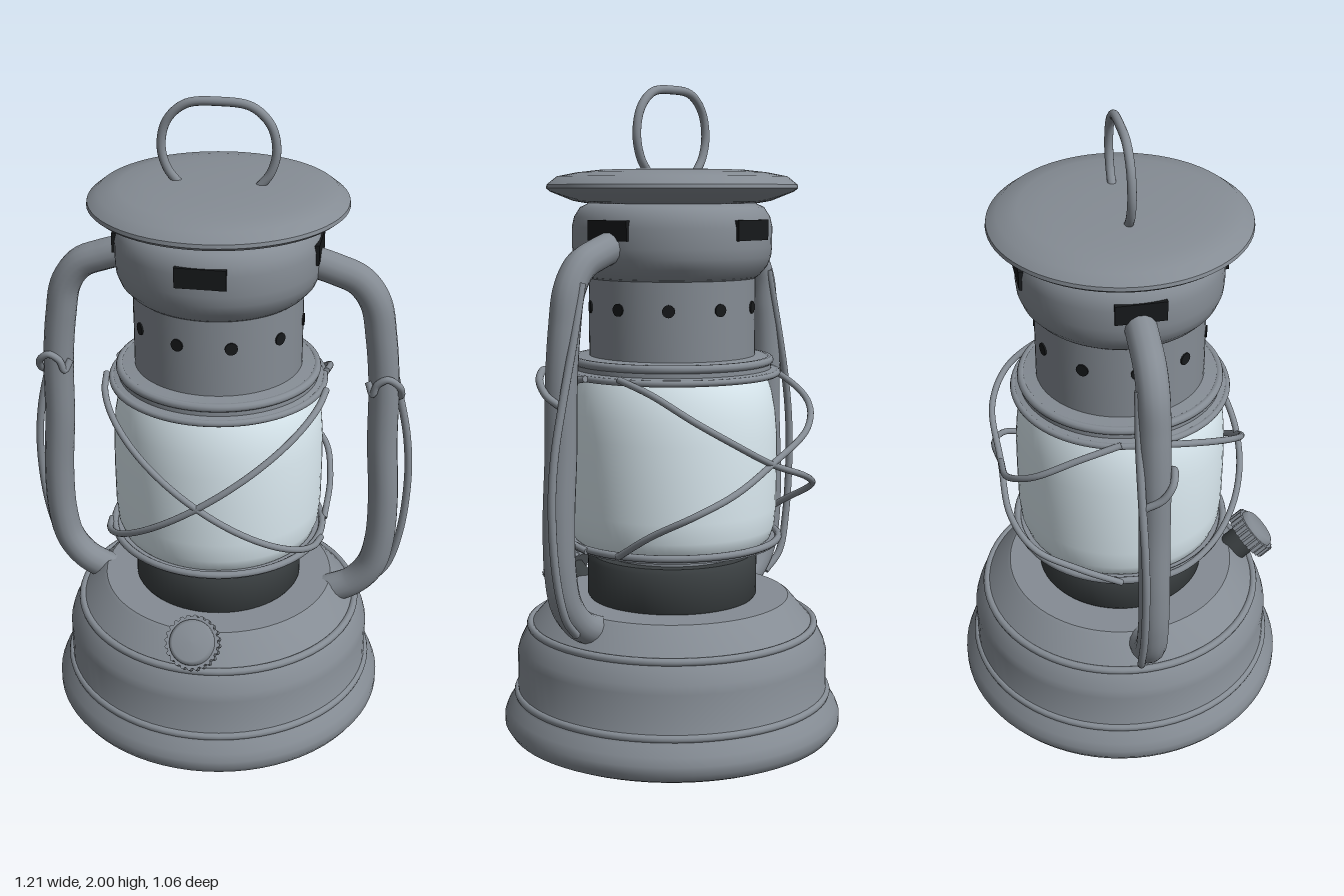
import * as THREE from 'three';
import { toCreasedNormals } from 'three/addons/utils/BufferGeometryUtils.js';

const paint = (color) => new THREE.MeshStandardMaterial({ color });

export function createModel() {
  const model = new THREE.Group();
  model.name = 'oilLantern';
  const metal = paint(0x858c94);
  const dark = paint(0x3a3f41);
  const black = paint(0x17191b);
  const glass = paint(0xdcebf2);

  const add = (name, geometry, material = metal, parent = model) => {
    const mesh = new THREE.Mesh(geometry, material);
    mesh.name = name;
    parent.add(mesh);
    return mesh;
  };
  // Turned part from [radius, height] pairs, bottom to top
  const turned = (name, profile, material) => {
    const points = profile.map(([r, y]) => new THREE.Vector2(r, y));
    return add(name, toCreasedNormals(new THREE.LatheGeometry(points, 72), 0.6), material);
  };
  const ring = (name, radius, y, thickness) => {
    const mesh = add(name, new THREE.TorusGeometry(radius, thickness, 10, 72));
    mesh.rotation.x = Math.PI / 2;
    mesh.position.y = y;
    return mesh;
  };
  // Round wire or pipe through points, with flat end caps
  const pipe = (name, points, radius, segments = 64) => {
    const curve = new THREE.CatmullRomCurve3(points.map((p) => new THREE.Vector3(...p)));
    const mesh = add(name, new THREE.TubeGeometry(curve, segments, radius, 14));
    for (const t of [0, 1]) {
      const cap = add(name + 'End', new THREE.CircleGeometry(radius, 14), metal, mesh);
      cap.position.copy(curve.getPoint(t));
      const out = curve.getTangent(t).multiplyScalar(t ? 1 : -1);
      cap.quaternion.setFromUnitVectors(new THREE.Vector3(0, 0, 1), out);
    }
    return mesh;
  };

  // Fuel tank
  turned('tank', [
    [0, 0], [0.49, 0], [0.515, 0.012], [0.53, 0.035], [0.53, 0.06], [0.52, 0.085], [0.5, 0.115],
    [0.487, 0.135], [0.487, 0.26], [0.48, 0.285], [0.455, 0.335], [0.44, 0.35],
    [0.375, 0.425], [0.365, 0.432], [0, 0.432],
  ]);
  ring('tankLowerBead', 0.488, 0.13, 0.012);
  ring('tankUpperBead', 0.446, 0.345, 0.012);

  // Burner and glass globe
  turned('burner', [[0.255, 0.425], [0.265, 0.44], [0.265, 0.555], [0.255, 0.57], [0, 0.57]], dark);
  turned('globeSeat', [[0.22, 0.56], [0.22, 0.605], [0.33, 0.605], [0.33, 0.62], [0, 0.62]]);
  turned('globe', [
    [0.29, 0.605], [0.308, 0.625], [0.32, 0.66], [0.325, 0.72], [0.326, 0.85], [0.325, 0.95],
    [0.319, 1.02], [0.308, 1.08], [0.292, 1.125], [0.28, 1.15],
  ], glass);

  // Collar and vented chimney
  turned('collar', [
    [0.27, 1.13], [0.325, 1.13], [0.325, 1.145], [0.305, 1.15], [0.305, 1.165],
    [0.3, 1.185], [0.255, 1.19],
  ]);
  ring('collarBead', 0.3, 1.175, 0.013);
  turned('chimney', [[0.255, 1.185], [0.255, 1.425], [0.262, 1.43], [0.262, 1.445]]);
  for (let i = 0; i < 10; i++) {
    const a = ((i * 36 + 18) * Math.PI) / 180;
    const hole = add('ventHole', new THREE.CylinderGeometry(0.019, 0.019, 0.012, 16), black);
    hole.rotation.set(Math.PI / 2, 0, -a, 'YXZ');
    hole.rotation.set(Math.PI / 2, a, 0, 'YXZ');
    hole.position.set(Math.sin(a) * 0.253, 1.34, Math.cos(a) * 0.253);
  }

  // Hood with four draught slots
  turned('hood', [
    [0.255, 1.425], [0.268, 1.435], [0.29, 1.46], [0.302, 1.49], [0.305, 1.52], [0.305, 1.58],
    [0.298, 1.61], [0.28, 1.638], [0.255, 1.65], [0.2, 1.65],
  ]);
  for (let i = 0; i < 4; i++) {
    const a = (i * Math.PI) / 2;
    const slot = add('draughtSlot', new THREE.BoxGeometry(0.148, 0.06, 0.04), black);
    slot.position.set(Math.sin(a) * 0.285, 1.573, Math.cos(a) * 0.285);
    slot.rotation.y = a;
  }

  // Cap and lifting loop
  turned('cap', [
    [0, 1.645], [0.23, 1.645], [0.3, 1.657], [0.37, 1.685], [0.382, 1.695], [0.38, 1.706],
    [0.35, 1.73], [0.29, 1.742], [0.22, 1.75], [0.1, 1.753], [0, 1.754],
  ]);
  pipe('liftingLoop', [
    [-0.115, 1.74, 0], [-0.15, 1.785, 0], [-0.167, 1.85, 0], [-0.15, 1.925, 0], [-0.095, 1.976, 0], [0, 1.987, 0],
    [0.095, 1.976, 0], [0.15, 1.925, 0], [0.167, 1.85, 0], [0.15, 1.785, 0], [0.115, 1.74, 0],
  ], 0.013, 80);

  // Side air pipes, hanging bail ends and hooks, mirrored
  for (const s of [1, -1]) {
    const side = (points) => points.map(([x, y, z]) => [x * s, y, z]);
    pipe('airPipe', side([
      [0.285, 1.525, 0], [0.35, 1.505, 0], [0.42, 1.475, 0], [0.468, 1.41, 0], [0.49, 1.3, 0], [0.505, 1.15, 0],
      [0.51, 0.95, 0], [0.522, 0.75, 0], [0.518, 0.6, 0], [0.495, 0.5, 0], [0.44, 0.43, 0], [0.35, 0.385, 0],
    ]), 0.047, 80);
    pipe('bailWire', side([
      [0.46, 1.43, -0.04], [0.5, 1.28, -0.045], [0.55, 1.1, -0.045], [0.583, 0.95, -0.042], [0.594, 0.8, -0.04],
      [0.578, 0.6, -0.04], [0.54, 0.47, -0.04], [0.48, 0.41, -0.025],
    ]), 0.012);
    pipe('bailHook', side([
      [0.55, 1.09, -0.035], [0.56, 1.12, 0.01], [0.553, 1.16, 0.04], [0.52, 1.185, 0.052],
      [0.488, 1.165, 0.05], [0.475, 1.13, 0.045], [0.46, 1.16, 0.025],
    ]), 0.011, 40);

    // Crossed guard wires in front of and behind the globe
    const front = [];
    for (let i = 0; i <= 12; i++) {
      const a = (i / 6 - 1) * 1.4;
      const r = 0.335 + 0.045 * Math.cos(a);
      front.push([Math.sin(a) * r * s, 0.88 + (0.26 * Math.sin(a)) / Math.sin(1.4), Math.cos(a) * r]);
    }
    pipe('frontGuardWire', front, 0.01);
    pipe('rearGuardWire', side([
      [0.335, 0.62, -0.06], [0.338, 0.7, -0.19], [0.3, 0.77, -0.32], [0.19, 0.82, -0.376], [0, 0.885, -0.378],
      [-0.19, 0.97, -0.376], [-0.29, 1.04, -0.31], [-0.325, 1.11, -0.18], [-0.325, 1.145, -0.06],
    ]), 0.01);
  }
  ring('lowerGuardRing', 0.333, 0.622, 0.011);
  ring('upperGuardRing', 0.325, 1.137, 0.01);

  // Tilted wick knob with a knurled grip
  const knob = new THREE.Group();
  knob.name = 'wickKnob';
  knob.position.set(0, 0.447, 0.445);
  knob.rotation.x = Math.atan2(0.76, 0.65);
  model.add(knob);
  add('knobShaft', new THREE.CylinderGeometry(0.05, 0.05, 0.13, 32), dark, knob).position.y = -0.065;
  add('knobGrip', new THREE.CylinderGeometry(0.077, 0.077, 0.045, 40), metal, knob).position.y = 0.005;
  for (let i = 0; i < 24; i++) {
    const a = (i / 24) * Math.PI * 2;
    const ridge = add('knobRidge', new THREE.CylinderGeometry(0.007, 0.007, 0.045, 8), metal, knob);
    ridge.position.set(Math.sin(a) * 0.077, 0.005, Math.cos(a) * 0.077);
  }
  const face = [[0.07, 0.02], [0.068, 0.036], [0.058, 0.045], [0, 0.047]].map(([r, y]) => new THREE.Vector2(r, y));
  add('knobFace', new THREE.LatheGeometry(face, 40), metal, knob);

  return model;
}
